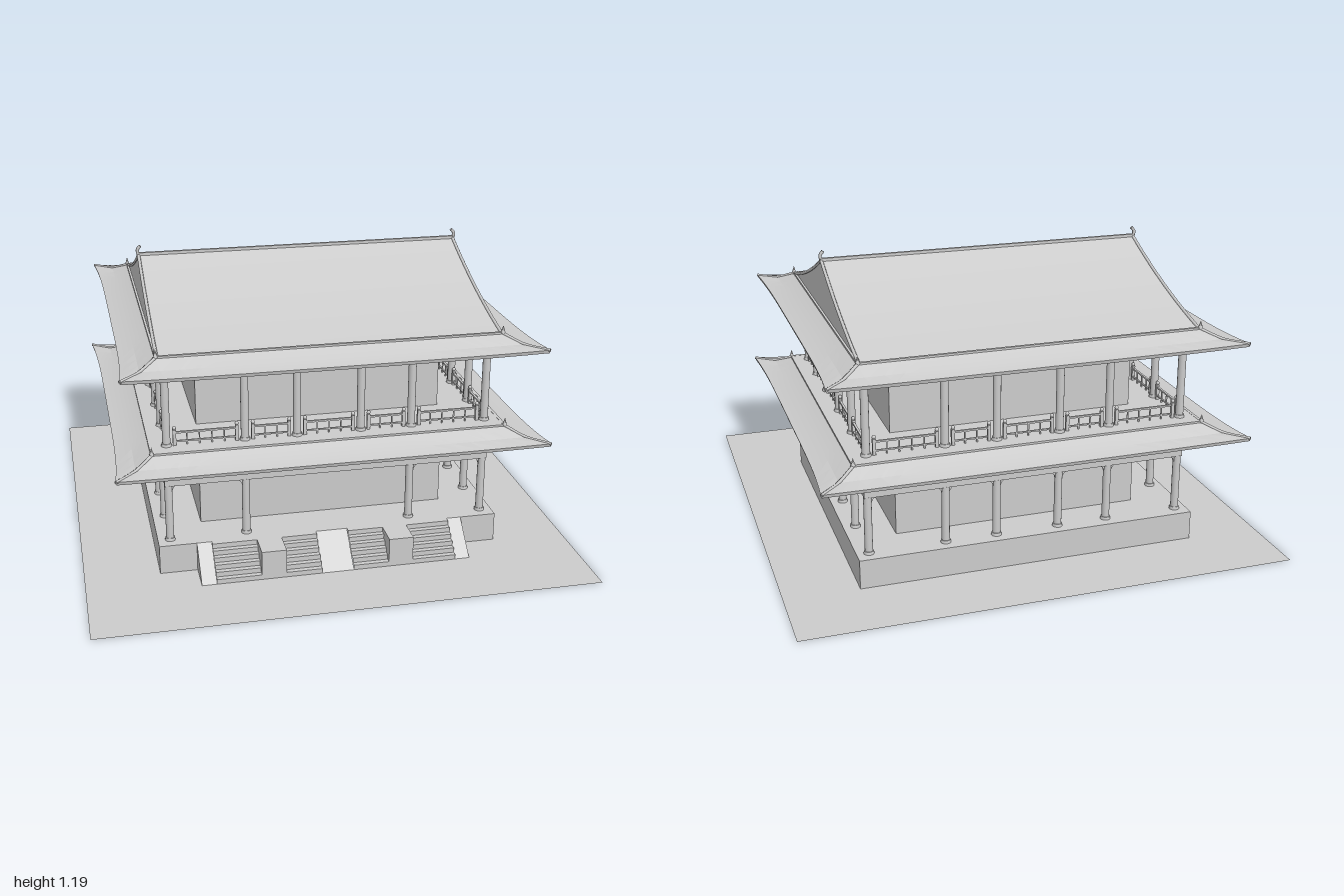
import * as THREE from 'three';
import { toCreasedNormals } from 'three/addons/utils/BufferGeometryUtils.js';

const mat = new THREE.MeshStandardMaterial({ color: 0xcccccc, side: THREE.DoubleSide });

function add(parent, geometry, name, x = 0, y = 0, z = 0) {
  const m = new THREE.Mesh(geometry, mat);
  m.name = name;
  m.position.set(x, y, z);
  parent.add(m);
  return m;
}
function group(parent, name) {
  const g = new THREE.Group();
  g.name = name;
  parent.add(g);
  return g;
}
const box = (w, h, d) => new THREE.BoxGeometry(w, h, d);
const loop = pts => pts.map(p => new THREE.Vector2(...p));
const rect = (hx, hz) => loop([[-hx, -hz], [hx, -hz], [hx, hz], [-hx, hz]]);

// Rectangular frame with a rectangular opening, from height y0 to y1
function frame(hx, hz, ix, iz, y0, y1) {
  const s = new THREE.Shape(rect(hx, hz));
  s.holes.push(new THREE.Path(rect(ix, iz)));
  return new THREE.ExtrudeGeometry(s, { depth: y1 - y0, bevelEnabled: false })
    .rotateX(-Math.PI / 2).translate(0, y0, 0);
}
// Outline of [z, y] points extruded along x
function prism(pts, x0, x1) {
  return new THREE.ExtrudeGeometry(new THREE.Shape(loop(pts)), { depth: x1 - x0, bevelEnabled: false })
    .rotateY(-Math.PI / 2).translate(x1, 0, 0);
}
function tube(pts, r) {
  const curve = new THREE.CatmullRomCurve3(pts.map(p => new THREE.Vector3(...p)));
  return new THREE.TubeGeometry(curve, 12, r, 6);
}
// Skirt roof: rectangular rings [hx, hz, y, flare, lift] lofted in order
function skirt(rings) {
  const n = 20, pos = [], idx = [];
  for (let s = 0; s < 4; s++) {
    const base = pos.length / 3, a = s * Math.PI / 2;
    for (const [hx, hz, y, flare, lift] of rings) {
      const along = s % 2 ? hz : hx, out = s % 2 ? hx : hz;
      for (let i = 0; i <= n; i++) {
        const u = 2 * i / n - 1, e = Math.abs(u) ** 5;
        const px = u * (along + flare * e), pz = out + flare * e;
        pos.push(px * Math.cos(a) + pz * Math.sin(a), y + lift * e, -px * Math.sin(a) + pz * Math.cos(a));
      }
    }
    for (let r = 0; r < rings.length - 1; r++) for (let i = 0; i < n; i++) {
      const p = base + r * (n + 1) + i, q = p + n + 1;
      idx.push(p, q, q + 1, p, q + 1, p + 1);
    }
  }
  const g = new THREE.BufferGeometry();
  g.setAttribute('position', new THREE.Float32BufferAttribute(pos, 3));
  g.setIndex(idx);
  return toCreasedNormals(g, 0.3);
}

function eaveRoof(parent, name, ix, iz, y, ox, oz, drop, soffitX, soffitZ) {
  const g = group(parent, name), e = y - drop, mx = (ix + ox) / 2, mz = (iz + oz) / 2;
  add(g, skirt([[ix, iz, y, 0, 0], [mx, mz, y - drop * 0.55, 0.004, 0.003], [ox, oz, e + 0.014, 0.02, 0.012],
    [ox - 0.004, oz - 0.004, e, 0.02, 0.012], [soffitX, soffitZ, e, 0, 0]]), 'eaves');
  add(g, frame(ix + 0.004, iz + 0.004, ix - 0.008, iz - 0.008, y - 0.01, y + 0.006), 'eaveCurb');
  for (const sx of [-1, 1]) for (const sz of [-1, 1]) {
    add(g, tube([[sx * ix, y, sz * iz], [sx * (mx + 0.004), y - drop * 0.5, sz * (mz + 0.004)],
      [sx * (ox + 0.018), e + 0.024, sz * (oz + 0.018)]], 0.007), 'hipRidge');
    add(g, new THREE.ConeGeometry(0.01, 0.032, 6), 'hipFinial', sx * ix, y + 0.018, sz * iz);
  }
}

// Concave quarter bracket under a beam, beside a column
const bracketShape = new THREE.Shape();
bracketShape.moveTo(0, 0).lineTo(0.045, 0).quadraticCurveTo(0.016, -0.004, 0.014, -0.035).lineTo(0, -0.035);
const bracketGeo = new THREE.ExtrudeGeometry(bracketShape, { depth: 0.012, bevelEnabled: false, curveSegments: 5 })
  .translate(0, 0, -0.006);

function railing(parent, a, b, y, z) {
  const g = group(parent, 'railing'), mid = (a + b) / 2, w = b - a;
  for (const x of [a, b]) {
    add(g, box(0.013, 0.065, 0.013), 'railPost', x, y + 0.0325, z);
    add(g, new THREE.SphereGeometry(0.008, 8, 6), 'postKnob', x, y + 0.072, z);
  }
  add(g, box(w, 0.007, 0.009), 'topRail', mid, y + 0.053, z);
  add(g, box(w, 0.006, 0.007), 'lowRail', mid, y + 0.016, z);
  const n = Math.round(w / 0.045);
  for (let i = 1; i < n; i++) add(g, box(0.005, 0.053, 0.005), 'baluster', a + w * i / n, y + 0.0265, z);
}

// Columns, brackets and optional railings around all four sides
function colonnade(parent, y0, y1, frontStops, rails) {
  const wide = [-0.65, -0.34, -0.13, 0.13, 0.34, 0.65];
  const deep = [-0.58, -0.34, -0.095, 0.151, 0.37, 0.58];
  const sides = [[frontStops ?? wide, 0.58], [deep.map(z => -z).reverse(), 0.65], [wide, 0.58], [deep, 0.65]];
  sides.forEach(([stops, out], s) => {
    const g = group(parent, 'colonnadeSide');
    g.rotation.y = s * Math.PI / 2;
    for (let i = 0; i < stops.length - 1; i++) {
      const a = stops[i], b = stops[i + 1];
      add(g, new THREE.CylinderGeometry(0.016, 0.016, y1 - y0, 14), 'column', a, (y0 + y1) / 2, out);
      add(g, new THREE.CylinderGeometry(0.019, 0.021, 0.012, 14), 'columnBase', a, y0 + 0.006, out);
      if (b - a < 0.5) {
        add(g, bracketGeo, 'bracket', a, y1, out);
        add(g, bracketGeo, 'bracket', b, y1, out).rotation.y = Math.PI;
      }
      if (rails) railing(g, a + 0.032, b - 0.032, y0, out);
    }
  });
}

export function createModel() {
  const model = new THREE.Group();
  model.name = 'pavilion';

  // Ground with an opening beneath the platform and stairs
  const land = new THREE.Shape(rect(1, 1));
  land.holes.push(new THREE.Path(loop([[-0.7, 0.7], [0.7, 0.7], [0.7, -0.57], [0.55, -0.57], [0.55, -0.7],
    [-0.55, -0.7], [-0.55, -0.57], [-0.7, -0.57]])));
  add(model, new THREE.ShapeGeometry(land).rotateX(-Math.PI / 2), 'ground');

  // Front stairs, ramps and blocks
  const stairs = group(model, 'frontStairs'), z0 = 0.57, z1 = 0.7, top = 0.12, steps = 6;
  const ramp = [[z0, 0], [z1, 0], [z0, top]], block = [[z0, 0], [z1, 0], [z1, top], [z0, top]];
  for (const [a, b] of [[-0.55, -0.49], [-0.065, 0.065], [0.49, 0.55]]) add(stairs, prism(ramp, a, b), 'ramp');
  for (const [a, b] of [[-0.31, -0.21], [0.21, 0.31]]) add(stairs, prism(block, a, b), 'stairBlock');
  for (const [a, b] of [[-0.49, -0.31], [-0.21, -0.065], [0.065, 0.21], [0.31, 0.49]]) {
    const rise = top / steps, run = (z1 - z0) / steps, w = b - a, x = (a + b) / 2;
    for (let i = 0; i < steps; i++) {
      add(stairs, new THREE.PlaneGeometry(w, rise), 'riser', x, (i + 0.5) * rise, z1 - i * run);
      add(stairs, new THREE.PlaneGeometry(w, run).rotateX(-Math.PI / 2), 'tread', x, (i + 1) * rise, z1 - (i + 0.5) * run);
    }
  }

  const hall = group(model, 'hall');
  hall.position.z = -0.065;

  // Hollow platform
  add(hall, frame(0.7, 0.635, 0.69, 0.625, 0, 0.115), 'platformWall');
  add(hall, frame(0.7, 0.635, 0.5, 0.445, 0.11, 0.12), 'platformTop');

  // Lower storey
  add(hall, frame(0.51, 0.455, 0.5, 0.445, 0.12, 0.53), 'lowerWalls');
  colonnade(hall, 0.12, 0.362, [-0.65, -0.34, 0.34, 0.65], false);
  add(hall, frame(0.665, 0.595, 0.635, 0.565, 0.36, 0.475), 'lowerBeam');
  eaveRoof(hall, 'lowerRoof', 0.715, 0.65, 0.525, 0.845, 0.77, 0.06, 0.65, 0.58);

  // Upper storey
  add(hall, frame(0.715, 0.65, 0.5, 0.38, 0.515, 0.53), 'balconyFloor');
  add(hall, frame(0.51, 0.39, 0.5, 0.38, 0.53, 0.925), 'upperWalls');
  colonnade(hall, 0.53, 0.827, null, true);
  add(hall, frame(0.665, 0.595, 0.635, 0.565, 0.825, 0.875), 'upperBeam');
  eaveRoof(hall, 'upperEaves', 0.685, 0.65, 0.922, 0.812, 0.77, 0.058, 0.65, 0.58);

  // Curved gable roof with ridges
  const profile = [];
  for (let i = -10; i <= 10; i++) {
    const t = 1 - Math.abs(i) / 10;
    profile.push([i * 0.065, 0.922 + 0.222 * (0.65 * t + 0.35 * t * t)]);
  }
  const roof = group(hall, 'gableRoof');
  add(roof, toCreasedNormals(prism(profile, -0.68, 0.68), 0.2), 'roofSlopes');
  add(roof, box(1.37, 0.016, 0.014), 'mainRidge', 0, 1.145, 0);
  for (const s of [-1, 1]) {
    for (const half of [profile.slice(0, 11), profile.slice(10)])
      add(roof, tube(half.map(([z, y]) => [s * 0.68, y, z]), 0.007), 'gableRidge');
    add(roof, tube([[s * 0.68, 1.14, 0], [s * 0.684, 1.165, 0], [s * 0.672, 1.182, 0]], 0.007), 'ridgeFinial');
  }
  return model;
}
